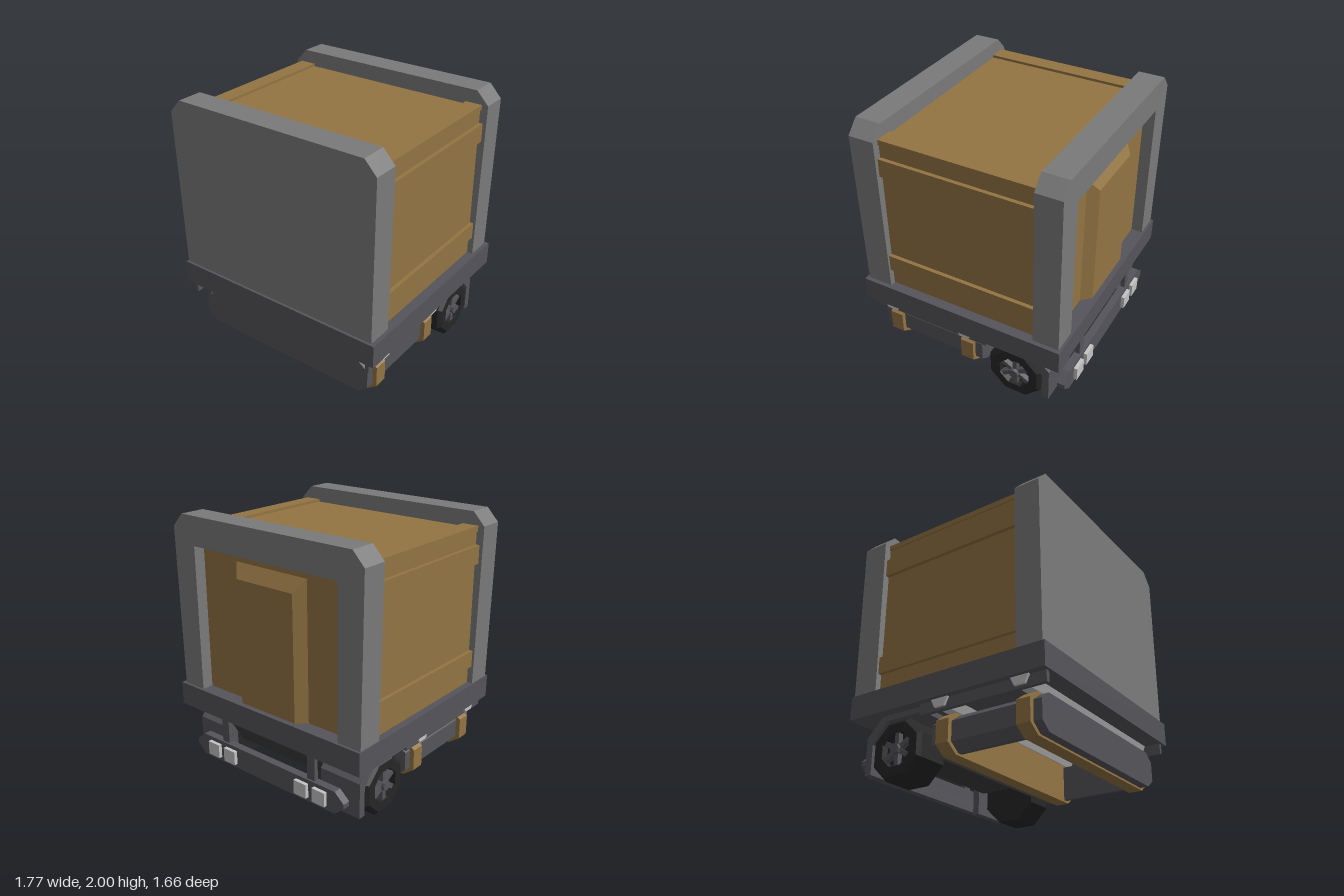
import * as THREE from 'three';

const mat = (name, color) => {
  const m = new THREE.MeshStandardMaterial({ color, flatShading: true });
  m.name = name;
  return m;
};

export function createModel() {
  const grey = mat('frame grey', 0x7a7a7a);
  const dark = mat('chassis grey', 0x55545a);
  const gold = mat('ochre panel', 0x927443);
  const black = mat('tyre black', 0x262626);
  const shadow = mat('underbody charcoal', 0x3c3c3e);
  const light = mat('light metal', 0xc4c4c4);

  const model = new THREE.Group();
  model.name = 'cargoTrailer';

  const add = (name, geo, material, parent = model) => {
    const m = new THREE.Mesh(geo, material);
    m.name = name;
    parent.add(m);
    return m;
  };
  // box from min/max extents
  const box = (name, x0, x1, y0, y1, z0, z1, material, parent) =>
    add(name, new THREE.BoxGeometry(x1 - x0, y1 - y0, z1 - z0)
      .translate((x0 + x1) / 2, (y0 + y1) / 2, (z0 + z1) / 2), material, parent);
  const shape = pts => new THREE.Shape(pts.map(p => new THREE.Vector2(...p)));
  const extrude = (pts, depth) =>
    new THREE.ExtrudeGeometry(shape(pts), { depth, bevelEnabled: false });
  // outline in (x, y), running z0 to z1
  const alongZ = (name, pts, z0, z1, material, parent) =>
    add(name, extrude(pts, z1 - z0).translate(0, 0, z0), material, parent);
  // outline in (z, y), running x0 to x1
  const alongX = (name, pts, x0, x1, material, parent) =>
    add(name, extrude(pts, x1 - x0).rotateY(-Math.PI / 2).translate(x1, 0, 0), material, parent);
  const octagon = (w, y0, y1, c, d) => [
    [-w + c, y0], [w - c, y0], [w, y0 + d], [w, y1 - d],
    [w - c, y1], [-w + c, y1], [-w, y1 - d], [-w, y0 + d]];

  // Cargo body, set slightly off centre on the platform
  const body = new THREE.Group();
  body.name = 'cargoBody';
  body.position.x = -0.012;
  model.add(body);
  box('cargoBox', -0.815, 0.815, 0.64, 1.88, -0.62, 0.63, gold, body);
  for (const s of [-1, 1]) {
    const side = (name, a, b, y0, y1) =>
      box(name, Math.min(s * a, s * b), Math.max(s * a, s * b), y0, y1, -0.6, 0.62, gold, body);
    side('roofRail', 0.695, 0.825, 1.86, 1.9);
    side('upperSideRail', 0.78, 0.845, 1.62, 1.76);
    side('lowerSideRail', 0.78, 0.845, 0.8, 0.93);
  }

  // Front wall and rear door frame
  const top = [[0.86, 0.65], [0.874, 1.9], [0.78, 2], [-0.78, 2], [-0.874, 1.9], [-0.86, 0.65]];
  alongZ('frontWall', top, 0.61, 0.81, grey, body);
  alongZ('rearFrame', [...top, [-0.665, 0.65], [-0.665, 1.78], [0.665, 1.78], [0.665, 0.65]],
    -0.79, -0.59, grey, body);
  box('rearPanel', -0.68, 0.68, 0.65, 1.8, -0.7, -0.6, gold, body);

  // Raised rear door with bevelled top and sides: shrink the outer face of a box
  const door = new THREE.BoxGeometry(0.66, 1.06, 0.07).translate(0, 1.18, -0.735);
  const p = door.attributes.position;
  for (let i = 0; i < p.count; i++) {
    if (p.getZ(i) < -0.735) {
      p.setX(i, p.getX(i) * 0.79);
      if (p.getY(i) > 1) p.setY(i, 1.61);
    }
  }
  door.computeVertexNormals();
  add('rearDoor', door, gold, body);

  // Platform and its underframe
  box('platform', -0.88, 0.88, 0.48, 0.66, -0.81, 0.83, dark);
  for (const z of [0.62, -0.02]) {
    alongX('crossMember', [[z - 0.07, 0.481], [z - 0.04, 0.42], [z + 0.04, 0.42], [z + 0.07, 0.481]],
      -0.85, 0.85, light);
  }
  for (const s of [-1, 1]) {
    box('sideRail', s * 0.815 - 0.015, s * 0.815 + 0.015, 0.4, 0.48, -0.2, 0.81, dark);
  }
  alongX('rearUnderbody', [[-0.13, 0.48], [-0.13, 0.23], [-0.6, 0.23], [-0.74, 0.48]],
    -0.45, 0.45, shadow);

  // Underslung locker: end plates, straps and side tanks
  const plate = octagon(0.775, 0.125, 0.39, 0.08, 0.06);
  alongZ('lockerFront', plate, 0.66, 0.74, dark);
  alongZ('lockerBack', plate, -0.13, -0.06, dark);
  for (const z of [0.57, -0.07]) {
    alongZ('strap', octagon(0.81, 0.11, 0.405, 0.09, 0.065), z, z + 0.105, gold);
  }
  for (const s of [-1, 1]) {
    alongZ('sideTank', [[0.66, 0.125], [0.695, 0.125], [0.775, 0.185], [0.775, 0.33],
      [0.695, 0.39], [0.66, 0.39]].map(([x, y]) => [x * s, y]), -0.1, 0.7, dark);
  }

  // Wheels, turned about y for the other side
  for (const s of [-1, 1]) {
    const wheel = new THREE.Group();
    wheel.name = s > 0 ? 'leftWheel' : 'rightWheel';
    wheel.position.set(0, 0.213, -0.42);
    if (s < 0) wheel.rotation.y = Math.PI;
    model.add(wheel);
    const profile = [[0, 0.55], [0.23, 0.55], [0.23, 0.785], [0.2, 0.81],
      [0.13, 0.81], [0.125, 0.76], [0, 0.76]].map(q => new THREE.Vector2(...q));
    add('tyre', new THREE.LatheGeometry(profile, 8).rotateY(Math.PI / 8).rotateZ(-Math.PI / 2),
      black, wheel);
    add('hub', new THREE.CylinderGeometry(0.038, 0.038, 0.08, 8).rotateZ(-Math.PI / 2)
      .translate(0.785, 0, 0), dark, wheel);
    for (let i = 0; i < 6; i++) {
      add('spoke', new THREE.BoxGeometry(0.04, 0.09, 0.036).translate(0.78, 0.075, 0)
        .rotateX(i * Math.PI / 3), dark, wheel);
    }
  }

  // Wheel arches with mudflaps
  for (const s of [-1, 1]) {
    alongX('wheelArch', [[-0.2, 0.485], [-0.56, 0.485], [-0.7, 0.345], [-0.7, 0.07],
      [-0.645, 0.07], [-0.645, 0.29], [-0.52, 0.44], [-0.2, 0.44]],
      s > 0 ? 0.45 : -0.8, s > 0 ? 0.8 : -0.45, dark);
  }

  // Rear bumper, hangers and lamps
  alongZ('rearBumper', octagon(0.74, 0.105, 0.28, 0.08, 0.07), -0.8, -0.74, dark);
  for (const s of [-1, 1]) {
    box('bumperHanger', s * 0.43 - 0.035, s * 0.43 + 0.035, 0.26, 0.49, -0.785, -0.75, dark);
    for (const x of [0.36, 0.53]) {
      box('rearLamp', s * x - 0.058, s * x + 0.058, 0.14, 0.25, -0.828, -0.79, light);
    }
  }
  return model;
}
